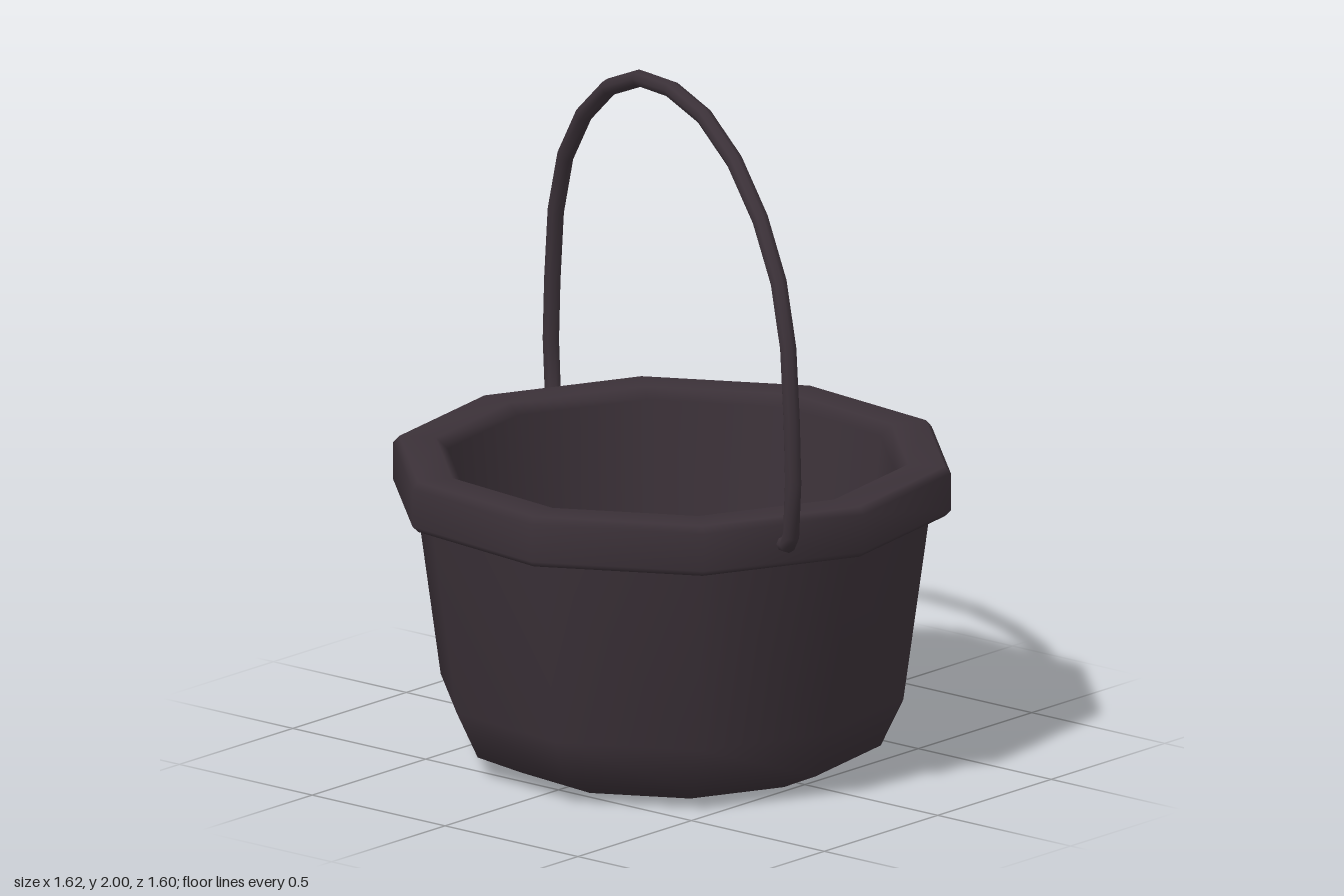
import * as THREE from 'three';

const SIDES = 10;
const START = THREE.MathUtils.degToRad(10.8);
const HANDLE_TURN = THREE.MathUtils.degToRad(-25);

export function createModel() {
  const group = new THREE.Group();
  const iron = new THREE.MeshStandardMaterial({ color: 0x3b3138 });
  iron.name = 'dark iron';

  // Ten-sided turned part from a profile of [radius, height]
  const turned = (name, profile) => {
    const points = profile.map(([r, y]) => new THREE.Vector2(r, y));
    const mesh = new THREE.Mesh(new THREE.LatheGeometry(points, SIDES, START), iron);
    mesh.name = name;
    group.add(mesh);
  };

  // Outer wall with a chamfered base
  turned('outerWall', [[0, 0], [0.475, 0], [0.61, 0.06], [0.676, 0.2], [0.755, 0.77]]);

  // Thick rim with softened edges, running on into the hollow inside
  turned('rimAndLining', [
    [0.74, 0.752], [0.797, 0.752], [0.815, 0.77], [0.815, 0.88], [0.797, 0.9],
    [0.69, 0.9], [0.655, 0.87], [0.578, 0.22], [0.535, 0.145], [0.44, 0.1], [0, 0.1],
  ]);

  // Arched handle, its ends hooked into the rim
  const half = [
    [0.74, 0.822], [0.797, 0.826], [0.822, 0.86], [0.836, 1.02], [0.826, 1.2], [0.802, 1.41],
    [0.736, 1.59], [0.609, 1.745], [0.432, 1.872], [0.222, 1.952],
  ];
  const path = [
    ...half.map(([x, y]) => new THREE.Vector3(-x, y, 0)),
    new THREE.Vector3(0, 1.975, 0),
    ...half.map(([x, y]) => new THREE.Vector3(x, y, 0)).reverse(),
  ];
  const curve = new THREE.CatmullRomCurve3(path);
  // Put one tube ring at each path point
  curve.getPointAt = (t, target) => curve.getPoint(t, target);
  curve.getTangentAt = (t, target) => curve.getTangent(t, target);
  const handle = new THREE.Mesh(new THREE.TubeGeometry(curve, path.length - 1, 0.025, 8), iron);
  handle.name = 'handle';
  handle.rotation.y = HANDLE_TURN;
  group.add(handle);

  return group;
}
